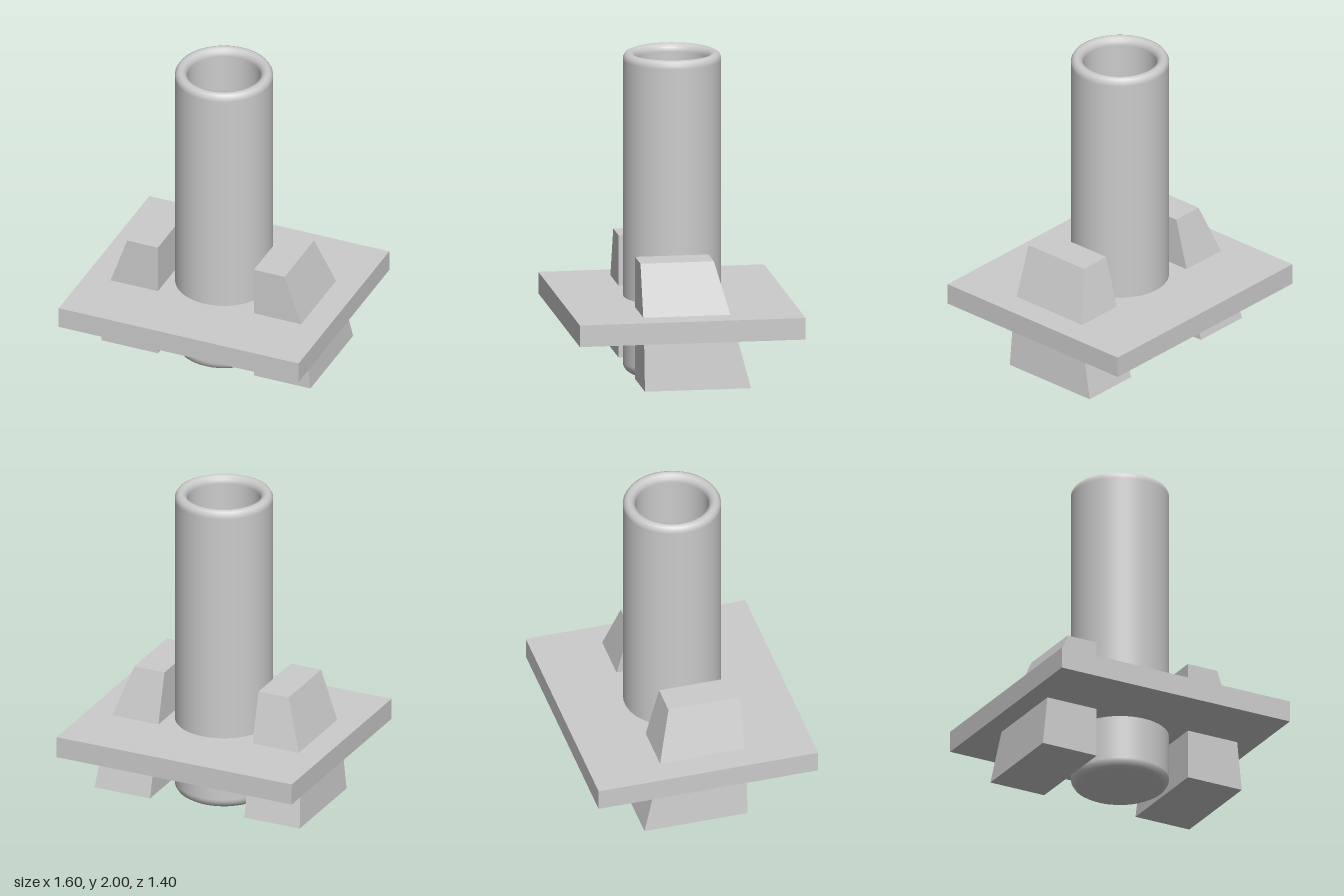
import * as THREE from 'three';

const material = new THREE.MeshStandardMaterial({ color: 0xcccccc });

function add(group, name, geometry) {
  const mesh = new THREE.Mesh(geometry, material);
  mesh.name = name;
  group.add(mesh);
  return mesh;
}

// Block with upright inner and front faces, and sloping outer and back faces.
// bottom and top each give the height, the outer x and the back z.
function taperedBlock(side, bottom, top) {
  const innerX = 0.32, frontZ = 0.28;
  const geometry = new THREE.BoxGeometry(1, 1, 1);
  const p = geometry.attributes.position;
  for (let i = 0; i < p.count; i++) {
    const end = p.getY(i) > 0 ? top : bottom;
    const isOuter = p.getX(i) * side > 0;
    const isFront = p.getZ(i) > 0;
    p.setXYZ(i, side * (isOuter ? end.x : innerX), end.y, isFront ? frontZ : end.z);
  }
  geometry.computeVertexNormals();
  return geometry;
}

export function createModel() {
  const model = new THREE.Group();
  model.name = 'tubeOnPlate';

  // Hollow tube with a closed, chamfered foot, a rounded rim and a rounded floor inside
  const profile = [
    [0, 0], [0.262, 0], [0.285, 0.015], [0.3, 0.04], [0.3, 0.06],
    [0.3, 1.95], [0.3, 1.97], [0.288, 1.99], [0.268, 2], [0.245, 1.992],
    [0.23, 1.975], [0.225, 1.95], [0.225, 0.6], [0.21, 0.545], [0.17, 0.51], [0.12, 0.5], [0, 0.5],
  ].map(([r, y]) => new THREE.Vector2(r, y));
  add(model, 'tube', new THREE.LatheGeometry(profile, 48));

  // Square-edged plate around the tube
  add(model, 'plate', new THREE.BoxGeometry(1.6, 0.135, 1.4)).position.y = 0.4075;

  // Mirrored pairs of blocks above and below the plate
  for (const side of [1, -1]) {
    const label = side > 0 ? 'left' : 'right';
    add(model, label + 'UpperBlock', taperedBlock(side,
      { y: 0.47, x: 0.637, z: -0.262 }, { y: 0.79, x: 0.525, z: -0.175 }));
    add(model, label + 'LowerBlock', taperedBlock(side,
      { y: 0.025, x: 0.698, z: -0.378 }, { y: 0.345, x: 0.665, z: -0.295 }));
  }
  return model;
}
